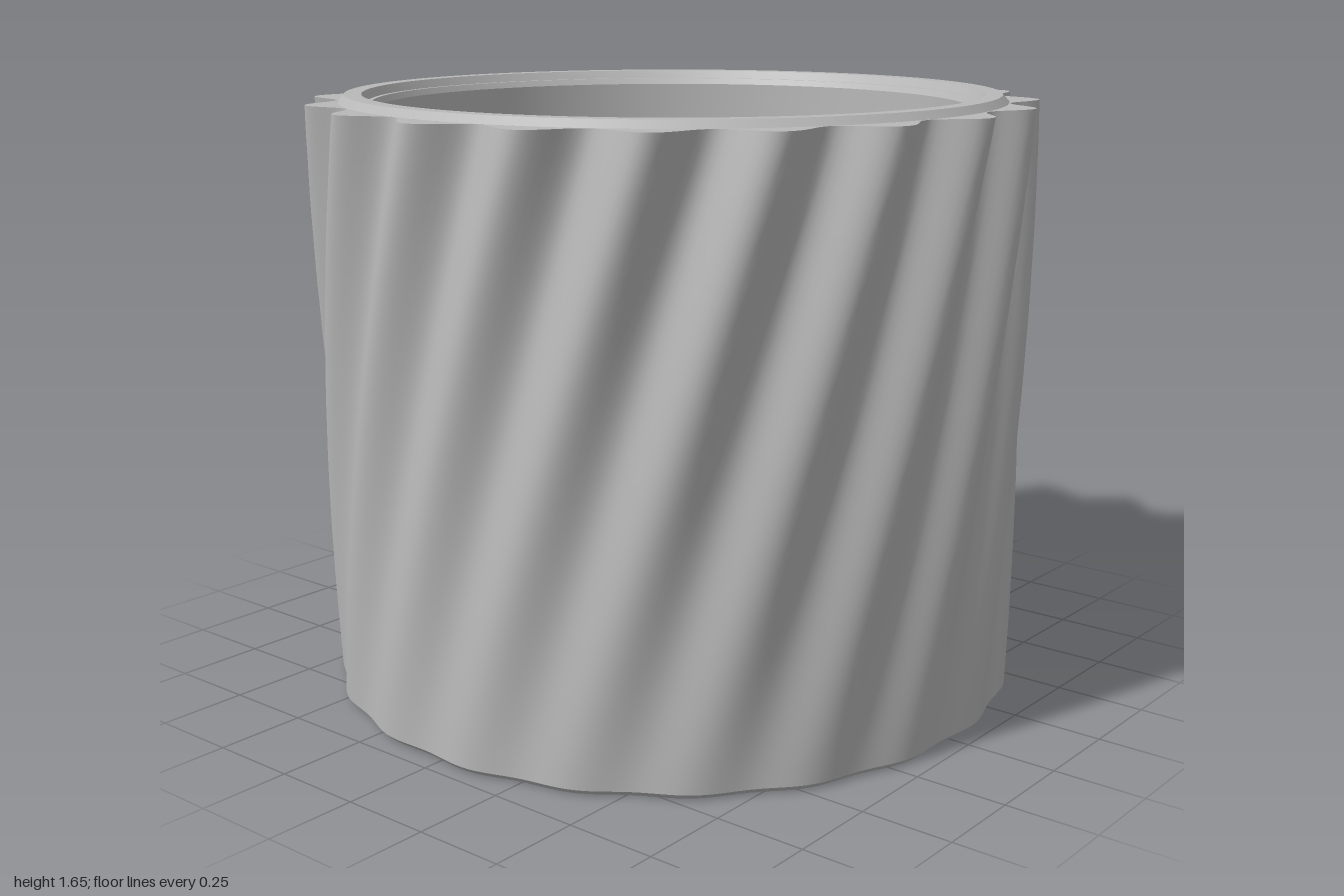
import * as THREE from 'three';
import { toCreasedNormals } from 'three/addons/utils/BufferGeometryUtils.js';

const LOBES = 20, SEGMENTS = 320, HEIGHT = 1.635;
const TWIST = THREE.MathUtils.degToRad(30);
const FLOOR = 0.08;

// Radius of the fluted wall: flutes deepen and turn towards the top
function wallRadius(angle, y) {
  const t = y / HEIGHT;
  const depth = THREE.MathUtils.lerp(0.007, 0.042, t);
  return 0.958 + depth * Math.cos(LOBES * (angle - TWIST * (t - 1)));
}

// Outline of the wall at height y, moved inwards by inset
function wallRing(y, inset = 0) {
  return (a) => {
    const r = wallRadius(a, y) - inset;
    return [r * Math.sin(a), y, r * Math.cos(a)];
  };
}

// Closed skin through a stack of rings
function skin(rings) {
  const positions = [], index = [];
  rings.forEach((ring, i) => {
    for (let j = 0; j < SEGMENTS; j++) {
      positions.push(...ring((j / SEGMENTS) * Math.PI * 2));
      if (i === rings.length - 1) continue;
      const a = i * SEGMENTS + j, b = i * SEGMENTS + (j + 1) % SEGMENTS;
      index.push(a, b, b + SEGMENTS, a, b + SEGMENTS, a + SEGMENTS);
    }
  });
  const g = new THREE.BufferGeometry();
  g.setAttribute('position', new THREE.Float32BufferAttribute(positions, 3));
  g.setIndex(index);
  g.computeVertexNormals();
  return g;
}

function lathe(points, segments) {
  const g = new THREE.LatheGeometry(points.map(([r, y]) => new THREE.Vector2(r, y)), segments);
  return toCreasedNormals(g, 0.5);
}

function punch(shape, spots, radius) {
  for (const [x, y] of spots) {
    shape.holes.push(new THREE.Path().absarc(x, y, radius, 0, Math.PI * 2, true));
  }
  return new THREE.ShapeGeometry(shape, 24);
}

export function createModel() {
  const model = new THREE.Group();
  model.name = 'flutedPot';
  const grey = new THREE.MeshStandardMaterial({ color: 0xb8b8b8 });
  grey.name = 'grey';
  const add = (name, geometry) => {
    const mesh = new THREE.Mesh(geometry, grey);
    mesh.name = name;
    model.add(mesh);
    return mesh;
  };

  // Twisted outer wall and its small bottom chamfer
  const rows = 32, bevel = 0.015;
  add('flutedWall', skin(Array.from({ length: rows + 1 },
    (_, i) => wallRing(bevel + (HEIGHT - bevel) * i / rows))));
  add('bottomChamfer', skin([wallRing(0, bevel), wallRing(bevel)]));

  // Flat shoulder between the lobes and the raised rim
  add('shoulder', skin([
    wallRing(HEIGHT),
    (a) => [0.912 * Math.sin(a), HEIGHT, 0.912 * Math.cos(a)],
  ]));

  // Raised rim, then inner wall down to a softly rounded floor edge
  add('rimAndInnerWall', lathe([
    [0.912, HEIGHT], [0.895, 1.655], [0.848, 1.655], [0.835, 1.632],
    [0.822, 1.632], [0.812, 1.615], [0.812, FLOOR + 0.04],
    [0.809, FLOOR + 0.025], [0.8, FLOOR + 0.012], [0.787, FLOOR + 0.003], [0.772, FLOOR],
  ], 128));

  // Inner floor with three shallow round recesses
  const dimples = [0, 1, 2].map((i) => {
    const a = Math.PI / 2 + (i * Math.PI * 2) / 3;
    return [0.56 * Math.cos(a), 0.56 * Math.sin(a)];
  });
  const floorShape = new THREE.Shape(Array.from({ length: 128 }, (_, i) => {
    const a = (i / 128) * Math.PI * 2;
    return new THREE.Vector2(0.772 * Math.cos(a), 0.772 * Math.sin(a));
  }));
  const floor = punch(floorShape, dimples, 0.075);
  add('floor', floor.rotateX(-Math.PI / 2).translate(0, FLOOR, 0));
  for (const [x, y] of dimples) {
    add('floorRecess', lathe([[0.075, 0], [0.075, -0.015], [0, -0.015]], 48))
      .position.set(x, FLOOR, -y);
  }

  // Underside with four round recesses
  const sockets = [[1, 1], [-1, 1], [-1, -1], [1, -1]].map(([x, z]) => [x * 0.515, z * 0.515]);
  const ring = wallRing(0, bevel);
  const baseShape = new THREE.Shape(Array.from({ length: SEGMENTS }, (_, i) => {
    const [x, , z] = ring((i / SEGMENTS) * Math.PI * 2);
    return new THREE.Vector2(x, z);
  }));
  add('underside', punch(baseShape, sockets, 0.117).rotateX(Math.PI / 2));
  for (const [x, z] of sockets) {
    const socket = add('undersideRecess', lathe([[0.117, 0], [0.117, -0.03], [0, -0.03]], 48));
    socket.rotation.x = Math.PI;
    socket.position.set(x, 0, z);
  }
  return model;
}
